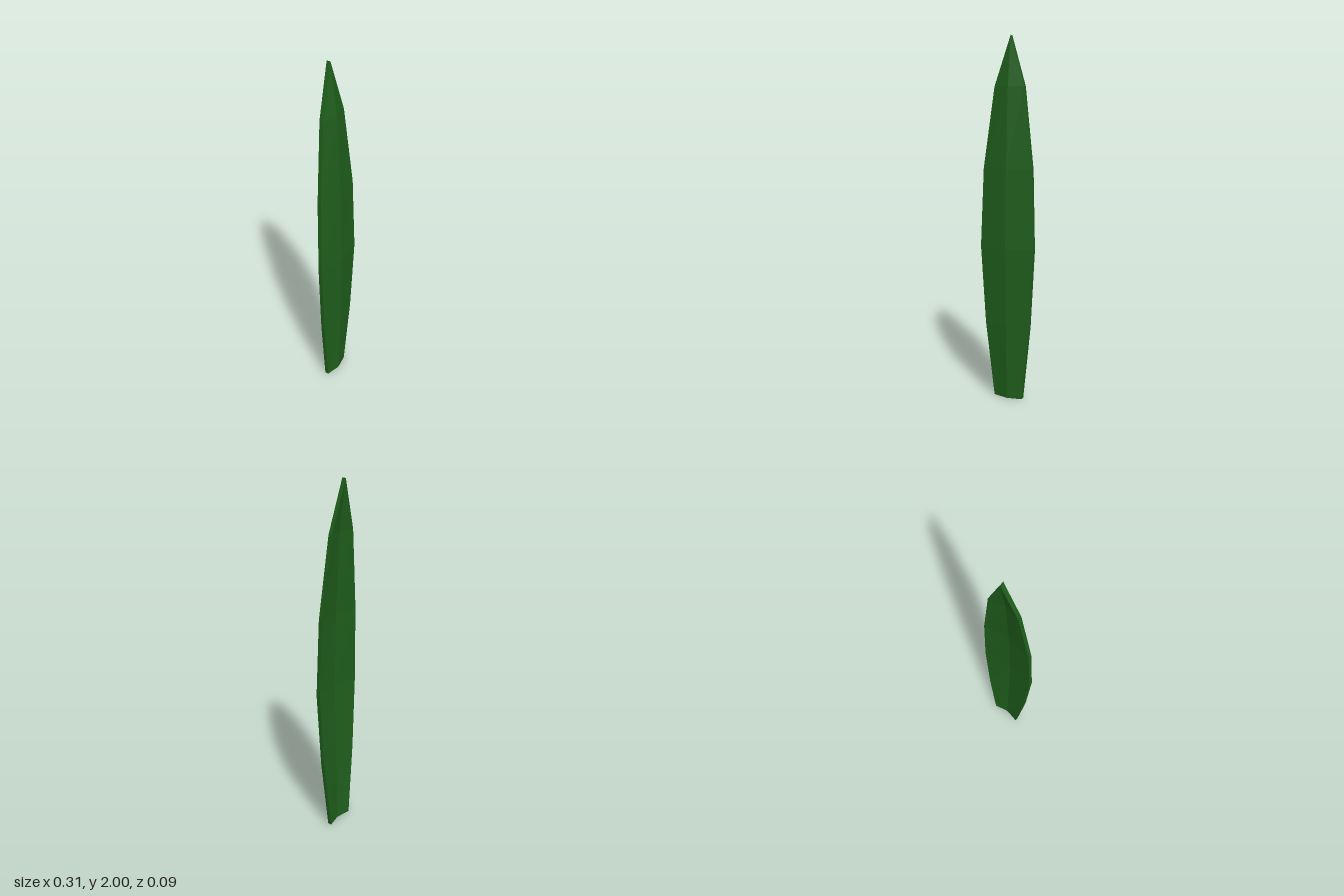
import * as THREE from 'three';

// Stations up the blade: height, half width, z of the rim's back, how far the midrib stands forward
const STATIONS = [
  [0, 0.085, -0.014, 0.018],
  [0.43, 0.132, -0.004, 0.02],
  [0.87, 0.157, 0.002, 0.021],
  [1.3, 0.142, -0.008, 0.022],
  [1.735, 0.086, -0.03, 0.018],
  [2, 0, -0.048, 0],
];
const THICKNESS = 0.022;

// Chevron cross-section, counter-clockwise seen from above
function section([y, w, back, fold]) {
  const front = back + THICKNESS;
  return [
    [-w, front], [0, front + fold], [w, front],
    [w, back], [0, back + fold], [-w, back],
  ].map(([x, z]) => new THREE.Vector3(x, y, z));
}

function bladeGeometry() {
  const rings = STATIONS.map(section);
  const positions = [];
  const tri = (a, b, c) => {
    // Faces that collapse at the tip are left out
    if (new THREE.Triangle(a, b, c).getArea() < 1e-8) return;
    for (const p of [a, b, c]) positions.push(p.x, p.y, p.z);
  };
  const quad = (a, b, c, d) => { tri(a, b, c); tri(a, c, d); };

  // Front, back and thin rim faces
  for (let r = 0; r < rings.length - 1; r++) {
    const lo = rings[r], hi = rings[r + 1];
    for (let i = 0; i < 6; i++) {
      const j = (i + 1) % 6;
      quad(lo[i], lo[j], hi[j], hi[i]);
    }
  }

  // Cut end at the base, one half each side of the midrib
  const b = rings[0];
  quad(b[5], b[4], b[1], b[0]);
  quad(b[4], b[3], b[2], b[1]);

  const geometry = new THREE.BufferGeometry();
  geometry.setAttribute('position', new THREE.Float32BufferAttribute(positions, 3));
  geometry.computeVertexNormals();
  return geometry;
}

export function createModel() {
  const group = new THREE.Group();
  group.name = 'leaf';
  const material = new THREE.MeshStandardMaterial({ color: 0x1f5f1c, flatShading: true });
  const blade = new THREE.Mesh(bladeGeometry(), material);
  blade.name = 'leafBlade';
  group.add(blade);
  return group;
}
